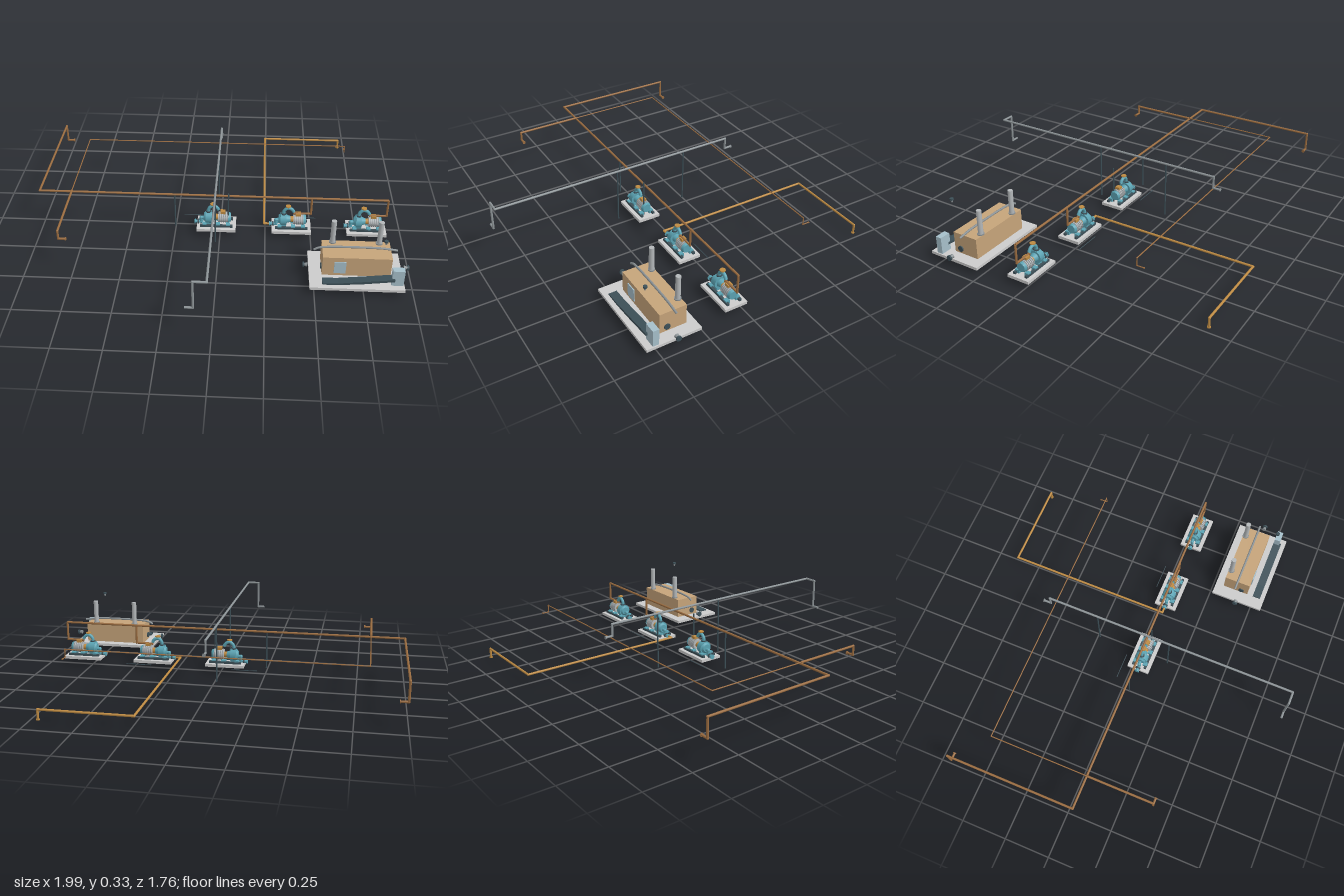
import * as THREE from 'three';

const mat = (color) => new THREE.MeshStandardMaterial({ color });
const M = {
  brown: mat(0x9a6c40), gold: mat(0xbd8a42), grey: mat(0x8c9396), steel: mat(0xb4b8ba),
  dark: mat(0x3d5058), teal: mat(0x5ba3b3), tan: mat(0xc6a47a), blue: mat(0xa6bfca), plate: mat(0xc0c0c0),
};
const UP = new THREE.Vector3(0, 1, 0);

function add(parent, name, geo, material, x = 0, y = 0, z = 0) {
  const m = new THREE.Mesh(geo, material);
  m.name = name;
  m.position.set(x, y, z);
  parent.add(m);
  return m;
}

// Box given by its lower and upper corners
function box(parent, name, material, [x0, y0, z0], [x1, y1, z1]) {
  return add(parent, name, new THREE.BoxGeometry(x1 - x0, y1 - y0, z1 - z0), material,
    (x0 + x1) / 2, (y0 + y1) / 2, (z0 + z1) / 2);
}

// Round bar between two points, optionally tapered
function rod(parent, name, material, a, b, r0, r1 = r0) {
  const p = new THREE.Vector3(...a), q = new THREE.Vector3(...b);
  const d = q.clone().sub(p);
  const m = add(parent, name, new THREE.CylinderGeometry(r1, r0, d.length(), 16), material);
  m.position.copy(p).add(q).multiplyScalar(0.5);
  m.quaternion.setFromUnitVectors(UP, d.normalize());
  return m;
}

// Straight pipe runs joined by round elbows, with an optional end flange
function pipe(parent, name, material, r, pts, flange = true) {
  const g = new THREE.Group();
  g.name = name;
  parent.add(g);
  for (let i = 1; i < pts.length; i++) {
    rod(g, 'pipeRun', material, pts[i - 1], pts[i], r);
    if (i < pts.length - 1) add(g, 'elbow', new THREE.SphereGeometry(r * 1.1, 12, 8), material, ...pts[i]);
  }
  if (flange) {
    const e = new THREE.Vector3(...pts.at(-1)), s = new THREE.Vector3(...pts.at(-2));
    const back = s.sub(e).normalize().multiplyScalar(0.005).add(e);
    rod(g, 'endFlange', material, back.toArray(), e.toArray(), r * 1.5);
  }
  return g;
}

function createPump(index) {
  const g = new THREE.Group();
  g.name = 'pump' + index;
  box(g, 'basePlate', M.plate, [-0.108, 0.029, -0.063], [0.108, 0.045, 0.063]);
  for (const s of [-1, 1]) {
    box(g, 'baseRail', M.dark, [-0.09, 0.045, s * 0.035 - 0.007], [0.09, 0.057, s * 0.035 + 0.007]);
    for (const x of [-0.065, 0.01, 0.065])
      box(g, 'foot', M.teal, [x - 0.011, 0.045, s * 0.029 - 0.012], [x + 0.011, 0.064, s * 0.029 + 0.012]);
  }
  // Pump casing with suction side
  rod(g, 'volute', M.teal, [-0.06, 0.088, 0], [-0.028, 0.088, 0], 0.036);
  rod(g, 'voluteCover', M.teal, [-0.07, 0.088, 0], [-0.06, 0.088, 0], 0.022, 0.03);
  box(g, 'pedestal', M.teal, [-0.06, 0.045, -0.022], [-0.028, 0.07, 0.022]);
  pipe(g, 'suctionPipe', M.teal, 0.009, [[-0.066, 0.08, 0], [-0.085, 0.08, 0], [-0.085, 0.053, 0], [-0.122, 0.053, 0]]);
  rod(g, 'suctionValve', M.dark, [-0.105, 0.053, 0], [-0.097, 0.053, 0], 0.014);
  // Drive
  rod(g, 'bearingHousing', M.teal, [-0.028, 0.088, 0], [-0.006, 0.088, 0], 0.024, 0.017);
  rod(g, 'coupling', M.gold, [-0.006, 0.088, 0], [0.01, 0.088, 0], 0.016);
  rod(g, 'motor', M.steel, [0.01, 0.088, 0], [0.066, 0.088, 0], 0.029);
  for (let i = 0; i < 5; i++)
    rod(g, 'coolingRing', M.grey, [0.015 + i * 0.011, 0.088, 0], [0.019 + i * 0.011, 0.088, 0], 0.031);
  rod(g, 'fanCover', M.teal, [0.066, 0.088, 0], [0.08, 0.088, 0], 0.03, 0.024);
  box(g, 'terminalBox', M.gold, [0.022, 0.115, -0.013], [0.05, 0.13, 0.013]);
  // Discharge arch
  const arch = new THREE.CatmullRomCurve3([[-0.044, 0.115, 0], [-0.042, 0.142, 0], [-0.022, 0.16, 0], [0, 0.153, 0], [0.012, 0.136, 0]]
    .map((p) => new THREE.Vector3(...p)));
  add(g, 'dischargeArch', new THREE.TubeGeometry(arch, 20, 0.009, 12), M.teal);
  rod(g, 'dischargeFlange', M.dark, [-0.044, 0.121, 0], [-0.044, 0.128, 0], 0.015);
  rod(g, 'valveStem', M.gold, [-0.02, 0.16, 0], [-0.02, 0.173, 0], 0.005);
  rod(g, 'valveWheel', M.gold, [-0.02, 0.17, 0], [-0.02, 0.175, 0], 0.015);
  return g;
}

// Small loose nozzle: collar with a tapered body
function nozzle(parent, a, b) {
  const mid = a.map((v, i) => v + (b[i] - v) * 0.35);
  rod(parent, 'nozzleCollar', M.dark, a, mid, 0.014);
  rod(parent, 'nozzleBody', M.grey, mid, b, 0.007, 0.012);
}

function createHeater() {
  const g = new THREE.Group();
  g.name = 'heaterSkid';
  box(g, 'skidPlate', M.plate, [0.475, 0.03, 0.265], [0.953, 0.045, 0.56]);
  box(g, 'heaterBody', M.tan, [0.54, 0.045, 0.312], [0.89, 0.157, 0.457]);
  for (const x of [0.595, 0.835]) {
    rod(g, 'stack', M.steel, [x, 0.15, 0.327], [x, 0.293, 0.327], 0.0135);
    rod(g, 'stackCollar', M.grey, [x, 0.157, 0.327], [x, 0.163, 0.327], 0.018);
  }
  box(g, 'accessPanel', M.blue, [0.6, 0.062, 0.457], [0.66, 0.132, 0.462]);
  for (const [a, b] of [[0.534, 0.54], [0.89, 0.896]]) {
    rod(g, 'endPort', M.dark, [a, 0.072, 0.417], [b, 0.072, 0.417], 0.016);
  }
  // Pipe bowed over the roof
  const bow = new THREE.CatmullRomCurve3([[0.497, 0.15], [0.52, 0.163], [0.57, 0.17], [0.71, 0.173], [0.85, 0.17], [0.923, 0.16]]
    .map(([x, y]) => new THREE.Vector3(x, y, 0.385)));
  add(g, 'roofPipe', new THREE.TubeGeometry(bow, 30, 0.006, 10), M.grey);
  // Sloping cable tray rising towards the cabinet
  const side = new THREE.Shape([[0.54, 0.045], [0.62, 0.045], [0.75, 0.057], [0.9, 0.077], [0.9, 0.09], [0.75, 0.071], [0.62, 0.056], [0.54, 0.053]]
    .map((p) => new THREE.Vector2(...p)));
  add(g, 'cableTray', new THREE.ExtrudeGeometry(side, { depth: 0.044, bevelEnabled: false }), M.dark, 0, 0, 0.491);
  box(g, 'controlCabinet', M.blue, [0.887, 0.045, 0.492], [0.947, 0.137, 0.525]);
  nozzle(g, [0.443, 0.07, 0.41], [0.467, 0.07, 0.41]);
  nozzle(g, [0.987, 0.07, 0.41], [0.961, 0.07, 0.41]);
  rod(g, 'ventCap', M.dark, [0.835, 0.3, 0.5], [0.835, 0.309, 0.5], 0.01);
  rod(g, 'ventStem', M.grey, [0.835, 0.287, 0.5], [0.835, 0.3, 0.5], 0.004, 0.007);
  return g;
}

export function createModel() {
  const root = new THREE.Group();
  root.name = 'pumpStation';
  const Z = 0.044, H = 0.23;

  // Pumps and their risers to the header
  [-0.021, 0.393, 0.805].forEach((x, i) => {
    const p = createPump(i + 1);
    p.position.set(x, 0, Z - 0.001);
    root.add(p);
    if (i > 0) pipe(root, 'pumpRiser', M.brown, 0.006, [[x + 0.105, H, Z], [x + 0.105, 0.128, Z], [x + 0.01, 0.128, Z]]);
  });
  root.add(createHeater());

  // Brown pipe network
  pipe(root, 'headerPipe', M.brown, 0.006,
    [[0.91, H, Z], [-0.994, H, Z], [-0.994, H, -0.667], [-0.994, 0.13, -0.667], [-0.953, 0.13, -0.667]]);
  pipe(root, 'frontBranch', M.brown, 0.006,
    [[-0.815, 0.237, Z], [-0.815, 0.237, 0.412], [-0.815, 0.188, 0.412], [-0.775, 0.188, 0.412]]);
  pipe(root, 'thinBranch', M.brown, 0.003,
    [[-0.815, 0.237, Z], [-0.815, 0.237, -0.5], [0.714, 0.237, -0.5], [0.714, 0.196, -0.5], [0.714, 0.196, -0.54]]);
  pipe(root, 'floorPipe', M.gold, 0.006,
    [[0.29, 0.053, Z], [0.243, 0.053, Z], [0.243, 0.053, -0.875], [0.714, 0.053, -0.875], [0.714, 0, -0.875]]);

  // Grey overhead pipe
  pipe(root, 'overheadPipe', M.grey, 0.006,
    [[-0.125, 0.17, 0.872], [-0.085, 0.17, 0.872], [-0.085, 0.328, 0.872], [-0.02, 0.328, 0.872],
      [-0.02, 0.328, -0.517], [-0.02, 0.264, -0.517], [-0.02, 0.264, -0.56]]);

  // Support posts
  for (const [x, z, top] of [[-0.25, Z, H], [0.045, Z + 0.012, 0.252], [-0.02, 0.18, 0.328], [-0.02, -0.235, 0.328]])
    rod(root, 'supportPost', M.dark, [x, 0.02, z], [x, top, z], 0.004);

  // Floor conduits behind the pumps
  for (const x of [-0.21, 0.39])
    rod(root, 'floorConduit', M.dark, [x, 0.03, -0.05], [x + 0.145, 0.03, -0.05], 0.002);
  return root;
}
